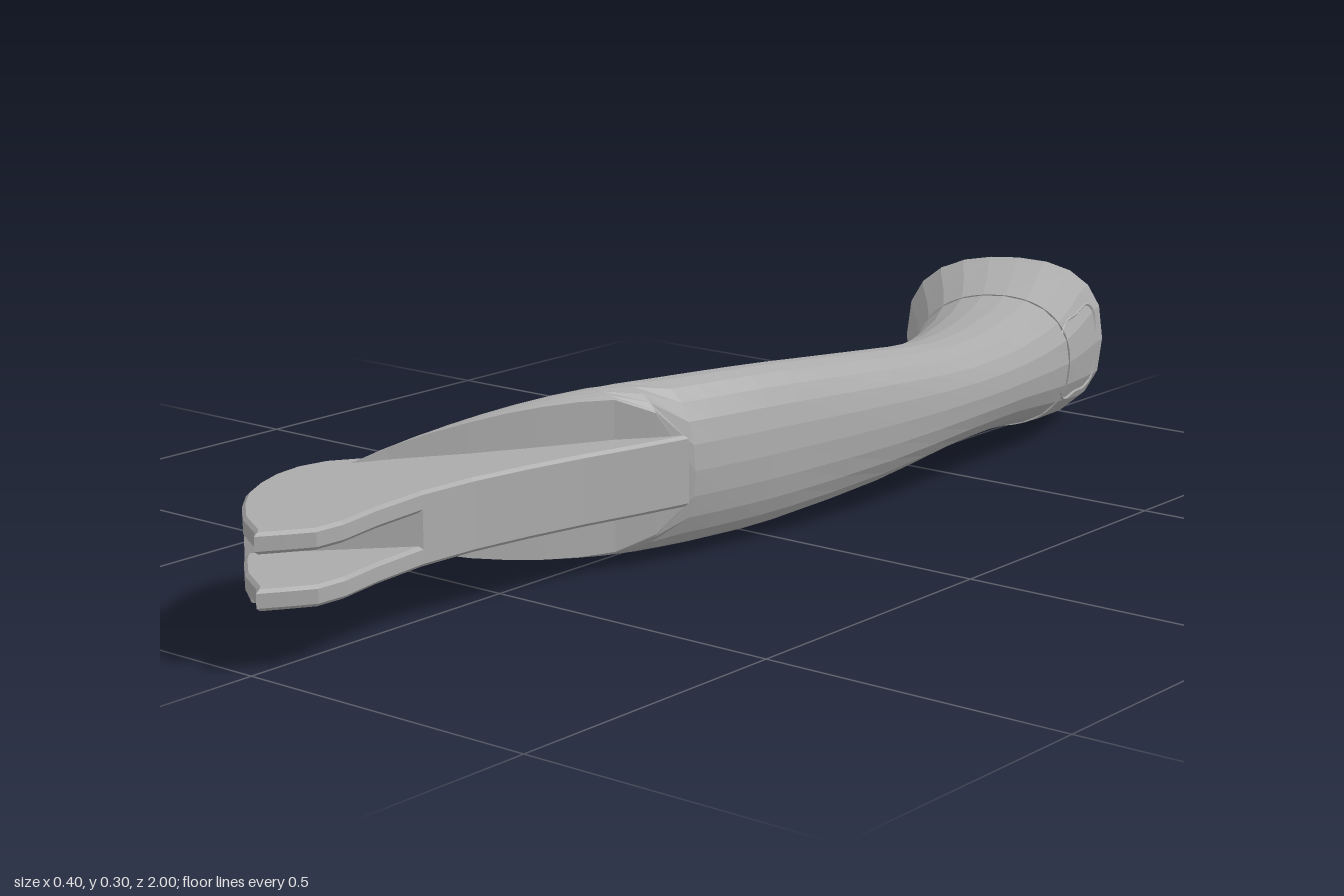
import * as THREE from 'three';

const MID = 0.148; // height of the long axis
// Stations: left x, left z, right x, right z, half height, share of the width kept
const STATIONS = [
  [-0.2, -0.815, 0.1, -1, 0.144, 1],
  [-0.17, -0.775, 0.115, -0.95, 0.148, 1],
  [-0.07, -0.66, 0.165, -0.79, 0.116, 1],
  [-0.02, -0.54, 0.187, -0.63, 0.096, 1],
  [0.02, -0.4, 0.2, -0.46, 0.092, 1],
  [0.04, -0.22, 0.195, -0.25, 0.11, 1],
  [0.03, -0.02, 0.168, -0.02, 0.127, 1],
  [0.0, 0.1, 0.15, 0.1, 0.131, 1],
  [-0.03, 0.2, 0.13, 0.2, 0.132, 1],
  [-0.075, 0.3, 0.105, 0.3, 0.13, 0.72],
  [-0.12, 0.4, 0.08, 0.4, 0.12, 0.6],
  [-0.16, 0.5, 0.06, 0.5, 0.104, 0.46],
  [-0.19, 0.6, 0.045, 0.6, 0.083, 0.27],
  [-0.203, 0.7, 0.04, 0.7, 0.06, 0.07],
];
const LAST = STATIONS.length - 1;

// Smoothly interpolated station at s = 0..LAST
function station(s) {
  const i = Math.min(Math.floor(s), LAST - 1), t = s - i;
  const at = (k) => STATIONS[Math.max(0, Math.min(LAST, k))];
  return STATIONS[i].map((b, c) => {
    if (c === 5) return b + (at(i + 1)[c] - b) * t;
    const a = at(i - 1)[c], d = at(i + 1)[c], e = at(i + 2)[c];
    return b + 0.5 * t * (d - a + t * (2 * a - 5 * b + 4 * d - e + t * (3 * (b - d) + e - a)));
  });
}

// Point on the body skin: u across the width, side +1 top or -1 bottom
function skin(s, u, side) {
  const [lx, lz, rx, rz, h, keep] = station(s);
  const n = 2.1 + 0.5 * Math.max(0, 1 - s / 3);
  const v = u * keep;
  const y = h * Math.pow(Math.max(0, 1 - Math.pow(Math.abs(2 * v - 1), n)), 1 / n);
  return new THREE.Vector3(lx + (rx - lx) * v, MID + side * y, lz + (rz - lz) * v);
}

// Curved body lofted through the stations, cut off along the front recess
function bodyGeometry() {
  const M = 11, rows = LAST * 2, pos = [], idx = [];
  const ring = 2 * (M + 1);
  for (let r = 0; r <= rows; r++) {
    for (let j = 0; j < ring; j++) {
      const top = j <= M, t = (top ? j : ring - 1 - j) / M;
      pos.push(...skin(r / 2, (1 - Math.cos(Math.PI * t)) / 2, top ? 1 : -1).toArray());
    }
  }
  for (let r = 0; r < rows; r++) {
    for (let j = 0; j < ring; j++) {
      const k = (j + 1) % ring, a = r * ring + j, b = r * ring + k;
      idx.push(a, a + ring, b, b, a + ring, b + ring);
    }
  }
  const end = rows * ring;
  for (let j = 1; j < ring - 1; j++) {
    idx.push(0, j, j + 1);
    idx.push(end, end + j + 1, end + j);
  }
  const g = new THREE.BufferGeometry();
  g.setAttribute('position', new THREE.Float32BufferAttribute(pos, 3));
  g.setIndex(idx);
  g.computeVertexNormals();
  return g;
}

// Flat plate from an x/z outline between two heights
function plate(points, y0, y1, bevel = 0) {
  const shape = new THREE.Shape(points.map(([x, z]) => new THREE.Vector2(x, z)));
  const g = new THREE.ExtrudeGeometry(shape, {
    depth: y1 - y0 - 2 * bevel, bevelEnabled: bevel > 0, bevelSize: bevel,
    bevelThickness: bevel, bevelOffset: -bevel, bevelSegments: 1,
  });
  g.rotateX(Math.PI / 2);
  g.translate(0, y1 - bevel, 0);
  return g;
}

export function createModel() {
  const model = new THREE.Group();
  const grey = new THREE.MeshStandardMaterial({ color: 0xaaaaaa, flatShading: true });
  grey.name = 'plain grey';
  const add = (name, geometry) => {
    const mesh = new THREE.Mesh(geometry, grey);
    mesh.name = name;
    model.add(mesh);
  };

  add('body', bodyGeometry());

  // Flat tongue: two jaws joined by a web that leaves a slot at the tip
  const rear = [[0.04, 0.7], [0.045, 0.6], [0.06, 0.5], [0.08, 0.4], [0.105, 0.3], [0.125, 0.21],
    [0.05, 0.22], [-0.02, 0.3], [-0.07, 0.4], [-0.115, 0.5], [-0.155, 0.6]];
  const leftEdge = [[-0.195, 0.66], [-0.204, 0.71], [-0.197, 0.76], [-0.178, 0.81], [-0.15, 0.86]];
  const tip = [[-0.11, 0.905], [-0.06, 0.95], [0, 0.985], [0.015, 1], [0.04, 0.965],
    [0.063, 0.93], [0.065, 0.88], [0.05, 0.8]];
  const outline = [...rear, ...leftEdge, ...tip];
  add('upperJaw', plate(outline, 0.174, 0.205, 0.005));
  add('lowerJaw', plate(outline, 0.094, 0.125, 0.005));
  add('jawWeb', plate([...rear, ...leftEdge, [-0.13, 0.885]], 0.115, 0.185));

  // Narrow lip below the curved edge of the lower jaw
  const lip = [[-0.17, 0.6], [-0.19, 0.66], [-0.197, 0.71], [-0.19, 0.76], [-0.172, 0.81],
    [-0.145, 0.86], [-0.105, 0.905], [-0.07, 0.93]];
  const inner = lip.map(([x, z]) => [x + 0.02, z - 0.012]).reverse();
  add('lowerLip', plate([...lip, ...inner], 0.075, 0.1));

  // Fine seams: a collar ring and a rounded tab on the outer side
  const seam = (name, points) => {
    const curve = new THREE.CatmullRomCurve3(points, true);
    add(name, new THREE.TubeGeometry(curve, 64, 0.0025, 4, true));
  };
  const ring = [];
  for (let i = 0; i < 32; i++) {
    const a = (i / 32) * Math.PI * 2;
    ring.push(skin(2, (1 - Math.cos(a)) / 2, a < Math.PI ? 1 : -1));
  }
  seam('collarSeam', ring);
  const tab = [[2, 0.95, 1], [1.5, 0.95, 1], [1.05, 0.96, 1], [0.9, 0.98, 1],
    [0.9, 0.98, -1], [1.05, 0.96, -1], [1.5, 0.95, -1], [2, 0.95, -1]];
  seam('tabSeam', tab.map(([s, u, side]) => skin(s, u, side)));

  return model;
}
